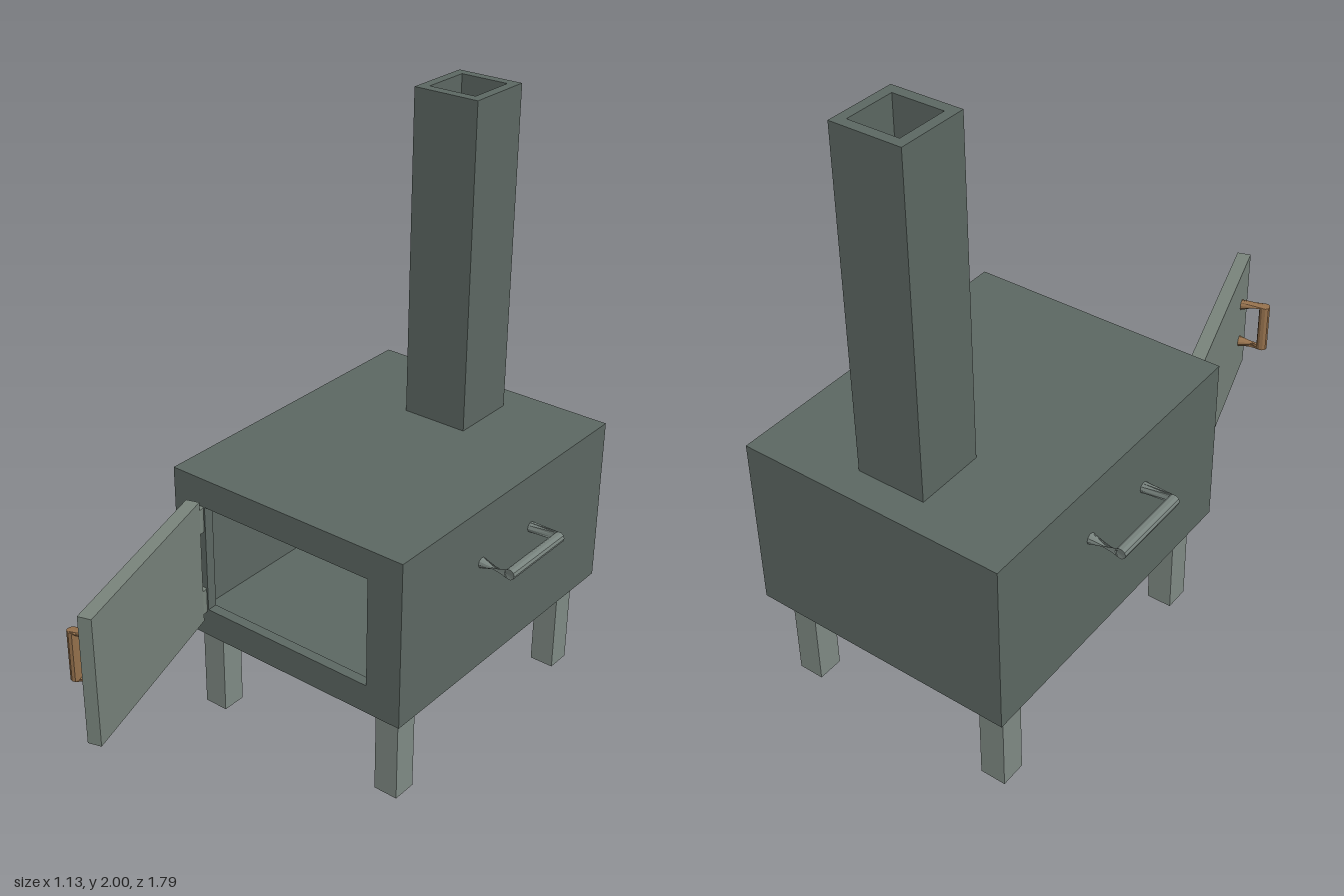
import * as THREE from 'three';

const mat = (color, extra = {}) => new THREE.MeshStandardMaterial({ color, ...extra });
const iron = mat(0x5c6762);
const paleIron = mat(0x7f8a84);
const doorIron = mat(0x78837b);
const handleIron = mat(0x77827d, { flatShading: true, side: THREE.DoubleSide });
const brass = mat(0x94704c, { flatShading: true, side: THREE.DoubleSide });

function add(parent, name, geometry, material, x = 0, y = 0, z = 0) {
  const mesh = new THREE.Mesh(geometry, material);
  mesh.name = name;
  mesh.position.set(x, y, z);
  parent.add(mesh);
  return mesh;
}

// Box given by its limits on each axis
function box(parent, name, material, [x0, x1], [y0, y1], [z0, z1]) {
  return add(parent, name, new THREE.BoxGeometry(x1 - x0, y1 - y0, z1 - z0), material,
    (x0 + x1) / 2, (y0 + y1) / 2, (z0 + z1) / 2);
}

const rect = (C, x0, y0, x1, y1) => new C([[x0, y0], [x1, y0], [x1, y1], [x0, y1]]
  .map(([x, y]) => new THREE.Vector2(x, y)));

// Plate with one rectangular hole
function frame(outer, hole, depth) {
  const shape = rect(THREE.Shape, ...outer);
  shape.holes.push(rect(THREE.Path, ...hole));
  return new THREE.ExtrudeGeometry(shape, { depth, bevelEnabled: false });
}

// Bar along z held off a wall at x = 0 by two lofted posts, the second half-twisted
function handleGeometry(reach, halfBar, halfBase, r, sides = 10) {
  const rings = [
    (c, s) => [0, s, -halfBase - c],
    (c, s) => [reach + c, s, -halfBar],
    (c, s) => [reach + c, s, halfBar],
    (c, s) => [0, -s, halfBase - c],
  ];
  const pos = [], index = [];
  rings.forEach((ring, k) => {
    for (let i = 0; i < sides; i++) {
      const t = (i / sides) * Math.PI * 2;
      pos.push(...ring(r * Math.cos(t), r * Math.sin(t)));
      if (k === 3) continue;
      const a = k * sides + i, b = k * sides + (i + 1) % sides;
      index.push(a, b, b + sides, a, b + sides, a + sides);
    }
  });
  const g = new THREE.BufferGeometry();
  g.setAttribute('position', new THREE.Float32BufferAttribute(pos, 3));
  g.setIndex(index);
  g.computeVertexNormals();
  return g;
}

export function createModel() {
  const model = new THREE.Group();
  model.name = 'woodStove';

  // Hollow firebox
  const W = 0.445, B = 0.33, T = 0.91, back = -0.9, front = 0.2, t = 0.035;
  const firebox = new THREE.Group();
  firebox.name = 'firebox';
  model.add(firebox);
  box(firebox, 'floor', iron, [-W, W], [B, B + t], [back, front - t]);
  box(firebox, 'backWall', iron, [-W, W], [B + t, T - t], [back, back + t]);
  for (const s of [-1, 1]) {
    const x = s * (W - t / 2);
    box(firebox, 'sideWall', iron, [x - t / 2, x + t / 2], [B + t, T - t], [back + t, front - t]);
  }
  add(firebox, 'frontWall', frame([-W, B, W, T], [-0.32, 0.43, 0.32, 0.81], t), iron, 0, 0, front - t);
  const flue = [-0.083, -0.764, 0.083, -0.597];
  add(firebox, 'roof', frame([-W, back, W, front - t], flue, t).rotateX(Math.PI / 2), iron, 0, T, 0);

  // Square chimney, open at the top
  add(model, 'chimney', frame([-0.115, -0.796, 0.115, -0.563], flue, 2 - T).rotateX(Math.PI / 2), iron, 0, 2, 0);

  // Legs
  for (const x of [-0.3575, 0.3575])
    for (const z of [0.1, -0.795])
      add(model, 'leg', new THREE.BoxGeometry(0.085, B, 0.085), paleIron, x, B / 2, z);

  // Carrying handles on the two sides
  for (const s of [-1, 1]) {
    const handle = add(model, 'sideHandle', handleGeometry(0.103, 0.14, 0.135, 0.018), handleIron,
      s * W, 0.717, -0.34);
    if (s < 0) handle.rotation.y = Math.PI;
  }

  // Hinge barrels
  for (const y of [0.467, 0.767])
    add(model, 'hinge', new THREE.CylinderGeometry(0.029, 0.029, 0.086, 12), doorIron, -0.348, y, 0.217);

  // Open door, running along its own z from the hinge
  const door = new THREE.Group();
  door.name = 'door';
  door.position.set(-0.34, 0, 0.23);
  door.rotation.y = 0.303;
  model.add(door);
  box(door, 'doorPanel', doorIron, [-0.0225, 0.0225], [0.4, 0.84], [0, 0.684]);
  const grip = add(door, 'doorHandle', handleGeometry(0.08, 0.085, 0.075, 0.018), brass, -0.0225, 0.625, 0.585);
  grip.rotation.set(Math.PI / 2, 0, Math.PI);

  return model;
}
